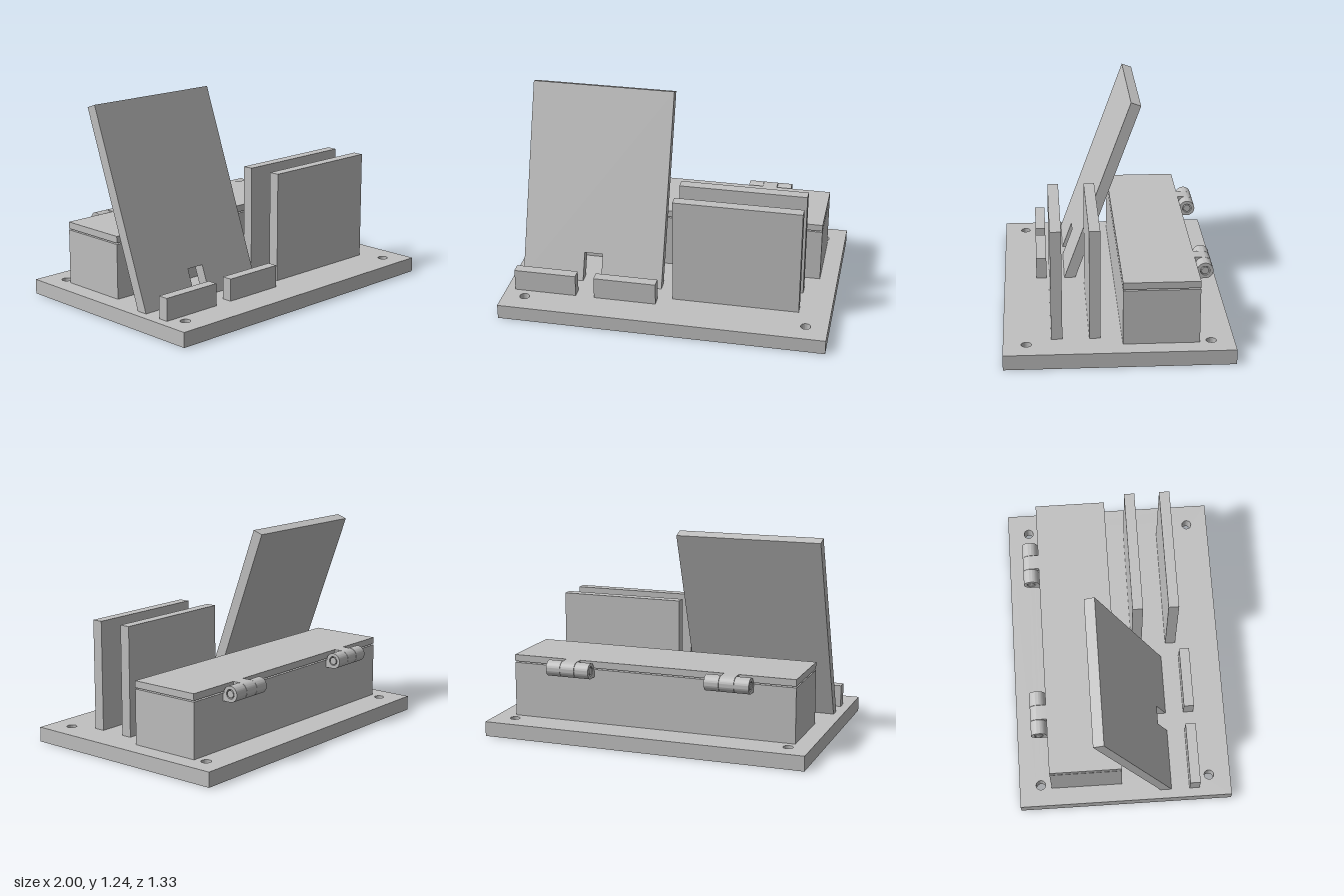
import * as THREE from 'three';
import { toCreasedNormals } from 'three/addons/utils/BufferGeometryUtils.js';

const grey = new THREE.MeshStandardMaterial({ color: 0xc0c0c0 });
grey.name = 'plain grey';

const BASE_TOP = 0.09;

function add(parent, name, geometry) {
  const mesh = new THREE.Mesh(geometry, grey);
  mesh.name = name;
  parent.add(mesh);
  return mesh;
}

// Axis-aligned box given by its extents
function block(parent, name, [x0, x1], [y0, y1], [z0, z1]) {
  const mesh = add(parent, name, new THREE.BoxGeometry(x1 - x0, y1 - y0, z1 - z0));
  mesh.position.set((x0 + x1) / 2, (y0 + y1) / 2, (z0 + z1) / 2);
}

// Base plate with four corner screw holes
function basePlate() {
  const X = 1, Z = 0.667;
  const shape = new THREE.Shape([[-X, -Z], [X, -Z], [X, Z], [-X, Z]].map(p => new THREE.Vector2(...p)));
  for (const sx of [-1, 1]) for (const sz of [-1, 1]) {
    shape.holes.push(new THREE.Path().absarc(sx * 0.866, sz * 0.533, 0.03, 0, Math.PI * 2));
  }
  const g = new THREE.ExtrudeGeometry(shape, { depth: BASE_TOP, bevelEnabled: false, curveSegments: 24 });
  return toCreasedNormals(g.rotateX(-Math.PI / 2), 0.6);
}

// Leaning back rest with a cable notch: an upright slab sheared backwards by 20 degrees
function backRest() {
  const x0 = -0.945, x1 = -0.06, n0 = -0.56, n1 = -0.445, notch = 0.17, height = 1.15;
  const slope = Math.tan(THREE.MathUtils.degToRad(20)), thick = 0.07;
  const shape = new THREE.Shape([
    [x0, 0], [n0, 0], [n0, notch], [n1, notch], [n1, 0], [x1, 0], [x1, height], [x0, height],
  ].map(p => new THREE.Vector2(...p)));
  const g = new THREE.ExtrudeGeometry(shape, { depth: thick, bevelEnabled: false });
  const p = g.attributes.position;
  for (let i = 0; i < p.count; i++) {
    let y = p.getY(i);
    const z = p.getZ(i);
    if (y > height - 0.01 && z < 0.01) y -= 0.022; // square-cut top edge
    p.setXYZ(i, p.getX(i), y + BASE_TOP, 0.22 + z - slope * y);
  }
  g.computeVertexNormals();
  return g;
}

// Hinge knuckle with a flat leaf; side = -1 joins the box, +1 joins the lid
function knuckle(side, width) {
  const r = 0.048, reach = 0.053;
  const shape = new THREE.Shape();
  shape.moveTo(-reach, side * r);
  shape.lineTo(0, side * r);
  shape.absarc(0, 0, r, side * Math.PI / 2, -side * Math.PI, side > 0);
  shape.lineTo(-reach, side * 0.006);
  shape.closePath();
  shape.holes.push(new THREE.Path().absarc(0, 0, 0.028, 0, Math.PI * 2));
  const g = new THREE.ExtrudeGeometry(shape, { depth: width, bevelEnabled: false, curveSegments: 32 });
  g.translate(0, 0, -width / 2).rotateY(Math.PI / 2);
  return toCreasedNormals(g, 0.6);
}

function hinge(x) {
  const group = new THREE.Group();
  group.name = 'hinge';
  group.position.set(x, 0.425, -0.518);
  for (const s of [-1, 1]) add(group, 'boxKnuckle', knuckle(-1, 0.089)).position.x = s * 0.0915;
  add(group, 'lidKnuckle', knuckle(1, 0.09));
  add(group, 'hingePin', new THREE.CylinderGeometry(0.022, 0.022, 0.272, 32).rotateZ(Math.PI / 2));
  return group;
}

export function createModel() {
  const model = new THREE.Group();
  model.name = 'deskOrganizer';

  add(model, 'basePlate', basePlate());
  add(model, 'backRest', backRest());

  // Low stops in front of the back rest, with a gap between them
  for (const x of [[-0.945, -0.56], [-0.445, -0.06]]) {
    block(model, 'frontStop', x, [BASE_TOP, 0.225], [0.403, 0.467]);
  }

  // Two upright divider plates
  for (const z of [0.103, 0.324]) {
    block(model, 'dividerPlate', [0.03, 0.807], [BASE_TOP, 0.758], [z, z + 0.065]);
  }

  // Long box with a hinged lid at the back
  block(model, 'storageBox', [-0.89, 0.89], [BASE_TOP, 0.424], [-0.465, -0.021]);
  block(model, 'boxLid', [-0.89, 0.89], [0.432, 0.473], [-0.465, -0.021]);
  for (const x of [-0.5, 0.5]) model.add(hinge(x));

  return model;
}
